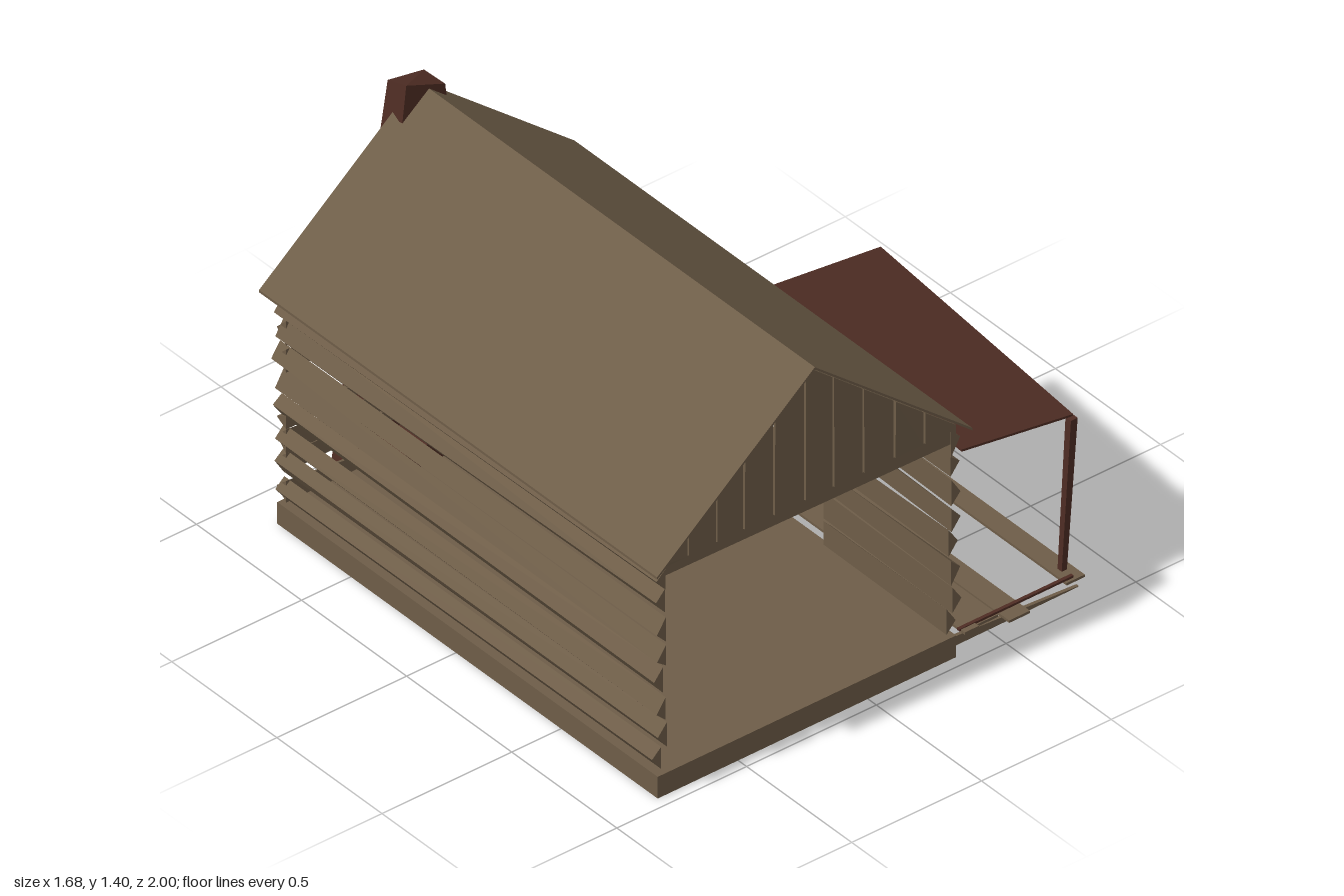
import * as THREE from 'three';
import { ConvexGeometry } from 'three/addons/geometries/ConvexGeometry.js';

export function createModel() {
  const group = new THREE.Group();
  const wood = new THREE.MeshStandardMaterial({ color: 0x6e5d48 });
  wood.name = 'weathered wood';
  const red = new THREE.MeshStandardMaterial({ color: 0x4f2d24 });
  red.name = 'red brown';

  let seed = 7;
  const rand = () => (seed = (seed * 16807) % 2147483647) / 2147483647;
  const jitter = (s) => (rand() - 0.5) * s;

  // Convex solid through a few corner points
  const solid = (name, points, material) => {
    const mesh = new THREE.Mesh(new ConvexGeometry(points.map((p) => new THREE.Vector3(...p))), material);
    mesh.name = name;
    group.add(mesh);
    return mesh;
  };
  const box = (name, x0, x1, y0, y1, z0, z1, material) => {
    const mesh = new THREE.Mesh(new THREE.BoxGeometry(x1 - x0, y1 - y0, z1 - z0), material);
    mesh.position.set((x0 + x1) / 2, (y0 + y1) / 2, (z0 + z1) / 2);
    mesh.name = name;
    group.add(mesh);
  };
  // Flat-sided plate: corners repeated a little lower
  const plate = (name, corners, t, material) =>
    solid(name, [...corners, ...corners.map(([x, y, z]) => [x, y - t, z])], material);

  // Foundation slab
  box('foundation', -0.81, 0.34, 0, 0.08, -0.85, 0.96, wood);

  // Side wall logs: flat inside, ridged outside
  const sideLog = (name, side, y, z0, z1) => {
    const xi = side < 0 ? -0.785 : 0.315;
    const points = [];
    for (const z of [z0, z1]) {
      const c = y + jitter(0.015);
      const h = 0.043 + jitter(0.014);
      points.push([xi, c - h, z], [xi, c + h, z], [xi + side * 0.035, c + jitter(0.03), z]);
    }
    solid(name, points, wood);
  };
  const rows = [0.13, 0.23, 0.325, 0.425, 0.525, 0.625, 0.715, 0.795];
  for (const y of rows) {
    const front = 0.96 + jitter(0.03);
    const back = -0.86 + jitter(0.03);
    sideLog('leftWallLog', -1, y, back, front);
    if (y > 0.7) {
      sideLog('rightWallLog', 1, y, back, front);
    } else {
      // Doorway and window gap
      sideLog('rightWallFrontLog', 1, y, y < 0.5 && y > 0.33 ? 0.4 : 0.36, front);
      sideLog('rightWallBackLog', 1, y, back, y < 0.33 ? 0 : -0.28);
    }
  }

  // Back wall logs taper towards the chimney:
  // outer bottom, outer top, inner x, inner bottom, inner top
  const backLeft = [
    [0.09, 0.17, -0.38, 0.09, 0.12], [0.2, 0.27, -0.36, 0.21, 0.25], [0.27, 0.36, -0.26, 0.26, 0.31],
    [0.36, 0.41, -0.24, 0.37, 0.4], [0.57, 0.655, -0.2, 0.58, 0.63], [0.67, 0.76, -0.2, 0.68, 0.73],
    [0.785, 0.845, -0.2, 0.8, 0.835],
  ];
  const backRight = [
    [0.09, 0.155, -0.05, 0.095, 0.12], [0.2, 0.275, -0.07, 0.26, 0.3], [0.28, 0.36, -0.1, 0.33, 0.37],
    [0.39, 0.47, -0.08, 0.37, 0.39], [0.57, 0.66, -0.11, 0.58, 0.64], [0.675, 0.75, -0.1, 0.68, 0.73],
    [0.78, 0.845, -0.1, 0.79, 0.825],
  ];
  for (const [list, name, xo] of [[backLeft, 'backLeftLog', -0.8], [backRight, 'backRightLog', 0.335]]) {
    for (const [b0, t0, xi, b1, t1] of list) {
      solid(name, [
        [xo, b0, -0.82], [xo, t0, -0.82], [xo, (b0 + t0) / 2, -0.865],
        [xi, b1, -0.82], [xi, t1, -0.82], [xi, (b1 + t1) / 2, -0.855],
      ], wood);
    }
  }

  // Tie beams and vertical gable boards
  const ridgeX = -0.237;
  const roofY = (x) => (x < ridgeX ? 1.335 - ((ridgeX - x) / 0.6) * 0.49 : 1.335 - ((x - ridgeX) / 0.595) * 0.49);
  const edges = [-0.815, -0.7, -0.59, -0.485, -0.37, -0.25, -0.14, -0.025, 0.095, 0.21, 0.335];
  for (const [side, z] of [['front', 0.965], ['back', -0.84]]) {
    for (let i = 0; i < edges.length - 1; i++) {
      const x0 = edges[i] + 0.003;
      const x1 = edges[i + 1] - 0.004;
      const points = [];
      const tilt = jitter(0.008);
      for (const dz of [-0.005, 0.005]) {
        points.push([x0, 0.85, z + dz], [x1, 0.85, z + dz]);
        points.push([x0, Math.max(roofY(x0), 0.852), z + dz + tilt], [x1, Math.max(roofY(x1), 0.852), z + dz]);
        if (x0 < ridgeX && x1 > ridgeX) points.push([ridgeX, 1.335, z + dz]);
      }
      solid(side + 'GableBoard', points, wood);
    }
    solid(side + 'TieBeam', [
      [-0.8, 0.815, z], [-0.8, 0.85, z], [-0.8, 0.835, z - 0.04],
      [0.335, 0.8, z], [0.335, 0.85, z], [0.335, 0.825, z - 0.04],
    ], wood);
  }

  // Main roof slopes
  for (const [name, x] of [['roofLeftSlope', 0.37], ['roofRightSlope', -0.845]]) {
    plate(name, [
      [ridgeX, 1.355, 1], [ridgeX, 1.355, -0.893], [x, 0.855, -0.893], [x, 0.855, 1],
    ], 0.009, wood);
  }

  // Tapered chimney with slanted top, and hearth inside
  solid('chimney', [
    [-0.48, 0, -1], [0, 0, -1], [-0.47, 0, -0.852], [-0.005, 0, -0.852],
    [-0.31, 1.36, -0.942], [-0.17, 1.335, -0.942], [-0.325, 1.405, -0.835], [-0.175, 1.345, -0.835],
  ], red);
  box('hearth', -0.47, 0, 0.08, 0.15, -0.86, -0.72, red);

  // Window shutter and side jamb
  solid('windowShutter', [
    [0.325, 0.345, -0.08], [0.325, 0.345, -0.175], [0.325, 0.515, -0.155], [0.325, 0.515, -0.1],
    [0.333, 0.345, -0.08], [0.333, 0.345, -0.175], [0.333, 0.515, -0.155], [0.333, 0.515, -0.1],
  ], red);
  solid('windowJamb', [
    [0.325, 0.35, -0.19], [0.325, 0.45, -0.25], [0.325, 0.51, -0.25],
    [0.333, 0.35, -0.19], [0.333, 0.45, -0.25], [0.333, 0.51, -0.25],
  ], red);

  // Porch roof
  plate('porchRoof', [
    [0.36, 0.835, 0.03], [0.835, 0.747, -0.01], [0.815, 0.665, 0.93], [0.365, 0.752, 0.955],
  ], 0.008, red);

  // Porch posts
  const post = (name, yTop, zTop, zBottom, w) => {
    const points = [];
    for (const [y, z, r] of [[0.07, zBottom, 0.01], [yTop, zTop, w]]) {
      for (const [sx, sz] of [[-1, -1], [1, -1], [1, 1], [-1, 1]]) points.push([0.805 + sx * r, y, z + sz * r]);
    }
    solid(name, points, red);
  };
  post('porchBackPost', 0.74, 0.01, 0.005, 0.013);
  post('porchFrontPost', 0.66, 0.935, 0.89, 0.013);

  // Porch deck planks: x0, x1, back z, front z, height
  for (const [x0, x1, z0, z1, y] of [
    [0.365, 0.42, -0.08, 0.97, 0.085], [0.425, 0.51, -0.09, 0.95, 0.075],
    [0.52, 0.6, -0.05, 0.99, 0.07], [0.77, 0.84, -0.09, 0.955, 0.075],
  ]) box('deckPlank', x0, x1, y - 0.009, y, z0, z1, wood);

  // Slanting joists carrying the deck
  for (const z of [-0.075, 0.945]) {
    solid('deckJoist', [
      [0.34, 0.07, z - 0.006], [0.34, 0.07, z + 0.006], [0.34, 0.035, z - 0.006], [0.34, 0.035, z + 0.006],
      [0.82, 0.04, z - 0.006], [0.82, 0.04, z + 0.006], [0.82, 0.032, z],
    ], wood);
    box('deckCrosspiece', 0.36, 0.8, 0.08, 0.088, z - 0.006, z + 0.006, red);
  }

  return group;
}
